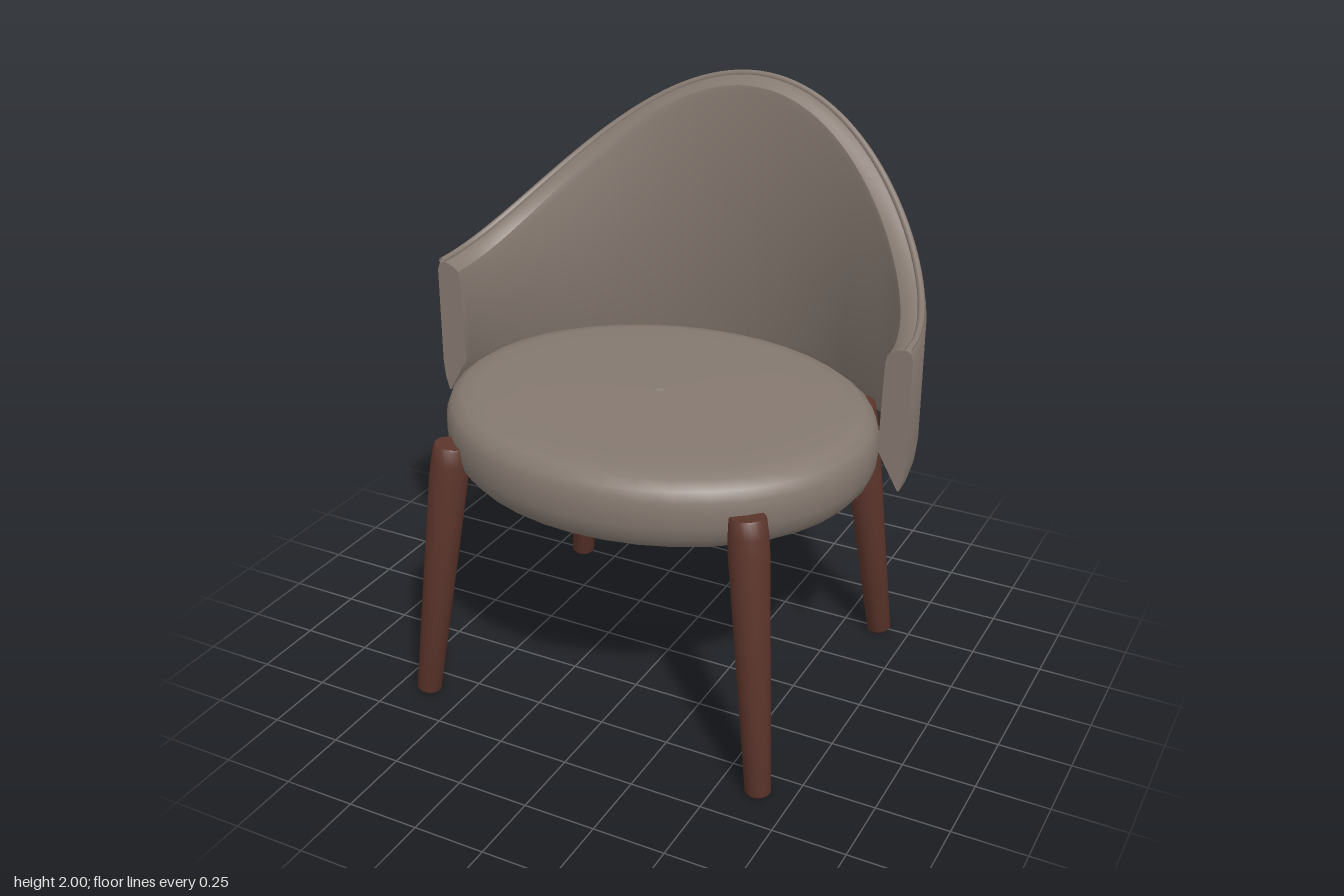
import * as THREE from 'three';
import { toCreasedNormals } from 'three/addons/utils/BufferGeometryUtils.js';

const fabric = new THREE.MeshStandardMaterial({ color: 0x857970, side: THREE.DoubleSide });
fabric.name = 'taupe fabric';
const wood = new THREE.MeshStandardMaterial({ color: 0x5c352b });
wood.name = 'dark wood';

const CENTER_Z = 0.06;
const v2 = (p) => new THREE.Vector2(p[0], p[1]);

function addMesh(group, name, geometry, material) {
  const mesh = new THREE.Mesh(geometry, material);
  mesh.name = name;
  group.add(mesh);
  return mesh;
}

// Half-oval plan of the backrest: t = 0 is the left end, t = PI the right end
function planPoint(r, y, t) {
  return new THREE.Vector3(r * Math.cos(t), y, CENTER_Z - 0.87 * r * Math.sin(t));
}
const topHeight = (t) => 1.405 + 0.595 * Math.pow(Math.max(0, Math.sin(t)), 2.1);

// Cross-section of the backrest wall, running up the outside and down the inside
function wallSection(h) {
  return [
    [0.86, 0.9], [0.874, 0.95], [0.88, 1.01],
    [0.88, h - 0.045], [0.872, h - 0.022], [0.858, h - 0.014], [0.842, h - 0.015],
    [0.815, h - 0.026], [0.796, h - 0.042], [0.79, h - 0.07],
    [0.782, 1.03], [0.855, 0.9],
  ];
}

function backrestGeometry(steps) {
  const positions = [];
  const index = [];
  const count = wallSection(1.4).length;
  for (let i = 0; i <= steps; i++) {
    const t = (i / steps) * Math.PI;
    for (const [r, y] of wallSection(topHeight(t))) positions.push(...planPoint(r, y, t).toArray());
  }
  for (let i = 0; i < steps; i++) {
    for (let j = 0; j < count; j++) {
      const k = (j + 1) % count;
      const a = i * count + j, b = a + count, c = (i + 1) * count + k, d = i * count + k;
      index.push(a, b, c, a, c, d);
    }
  }
  // flat ends of the wall
  const last = steps * count;
  for (const [a, b, c] of THREE.ShapeUtils.triangulateShape(wallSection(topHeight(0)).map(v2), [])) {
    index.push(a, b, c, last + a, last + c, last + b);
  }
  const geometry = new THREE.BufferGeometry();
  geometry.setAttribute('position', new THREE.Float32BufferAttribute(positions, 3));
  geometry.setIndex(index);
  return toCreasedNormals(geometry, 0.6);
}

// Oval cushion, open underneath, with a tiny centre hole
function seatGeometry() {
  const profile = [
    [0.61, 0.797], [0.66, 0.806], [0.705, 0.828], [0.737, 0.865], [0.752, 0.91], [0.755, 0.96],
    [0.75, 1.0], [0.735, 1.035], [0.7, 1.06], [0.64, 1.072], [0.5, 1.076], [0.015, 1.078],
  ].map(v2);
  const geometry = new THREE.LatheGeometry(profile, 40);
  geometry.scale(1, 1, 0.852);
  geometry.translate(0, 0, CENTER_Z);
  return geometry;
}

// Round tapered leg with its axis along y, foot at the origin
function legGeometry(length) {
  const profile = [
    [0, 0], [0.036, 0], [0.043, 0.008], [0.066, length - 0.12],
    [0.064, length - 0.06], [0.059, length - 0.006], [0.055, length], [0, length],
  ].map(v2);
  return toCreasedNormals(new THREE.LatheGeometry(profile, 24), 0.7);
}

export function createModel() {
  const model = new THREE.Group();
  model.name = 'tubChair';

  addMesh(model, 'seatCushion', seatGeometry(), fabric);
  addMesh(model, 'backrest', backrestGeometry(64), fabric);

  // Piping along the top of the backrest
  const path = [];
  for (let i = 0; i <= 32; i++) {
    const t = (i / 32) * Math.PI;
    path.push(planPoint(0.862, topHeight(t) - 0.012, t));
  }
  const piping = new THREE.TubeGeometry(new THREE.CatmullRomCurve3(path), 80, 0.012, 8);
  addMesh(model, 'backrestPiping', piping, fabric);

  // Four splayed legs
  const up = new THREE.Vector3(0, 1, 0);
  for (const front of [1, -1]) {
    for (const side of [1, -1]) {
      const foot = new THREE.Vector3(side * 0.638, 0.006, CENTER_Z + front * 0.547);
      const head = new THREE.Vector3(side * 0.54, 0.956, CENTER_Z + front * 0.46);
      const axis = head.clone().sub(foot);
      const name = (front > 0 ? 'front' : 'back') + (side > 0 ? 'Left' : 'Right') + 'Leg';
      const leg = addMesh(model, name, legGeometry(axis.length()), wood);
      leg.position.copy(foot);
      leg.quaternion.setFromUnitVectors(up, axis.normalize());
    }
  }
  return model;
}
